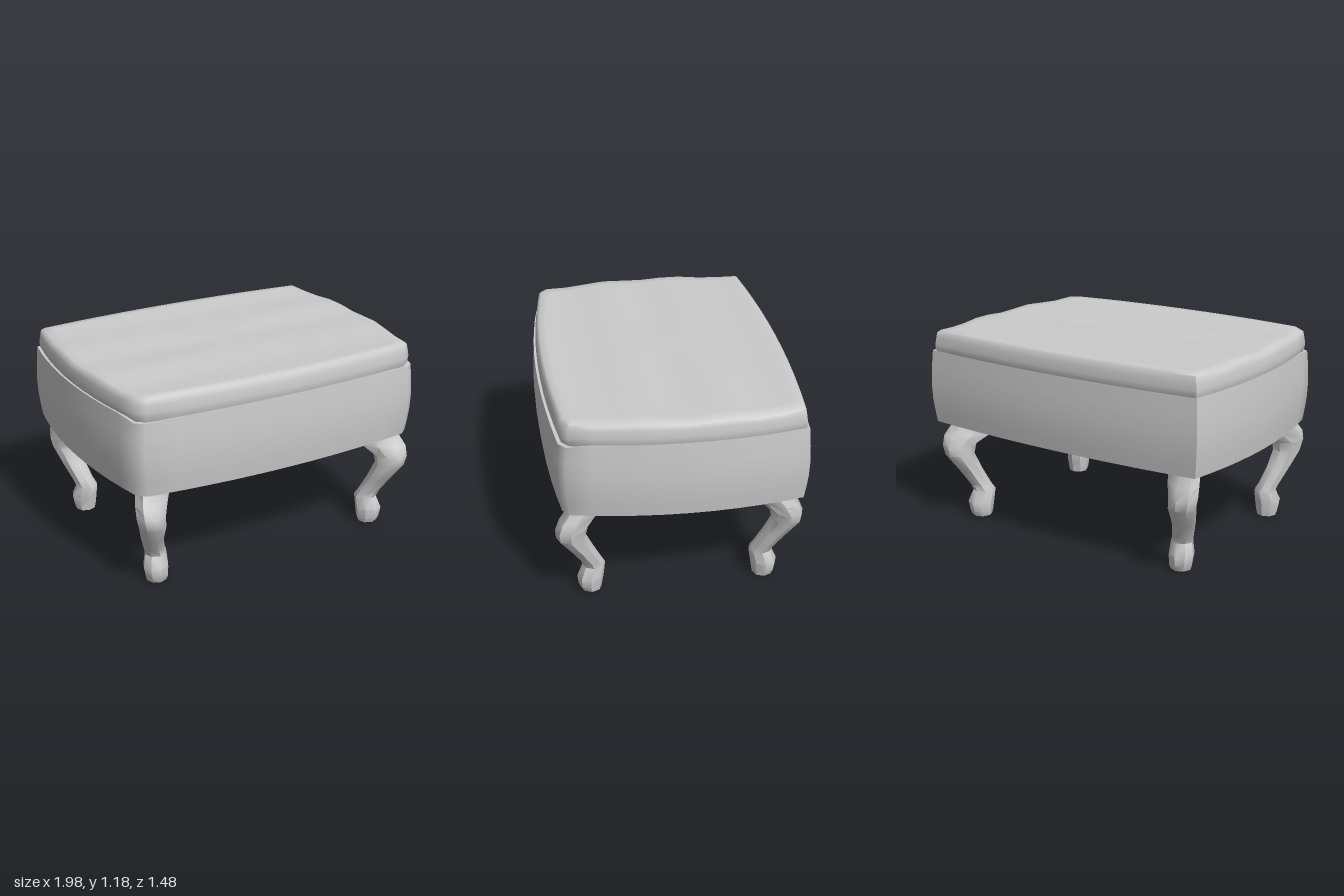
import * as THREE from 'three';
import { toCreasedNormals } from 'three/addons/utils/BufferGeometryUtils.js';

const material = new THREE.MeshStandardMaterial({ color: 0xcccccc });

// Skin closed rings of [x, y, z] points, listed from bottom to top, each running from +z towards +x.
function loft(rings, crease, flip = false) {
  const n = rings[0].length;
  const points = rings.flat();
  const index = [];
  const face = (a, b, c) => index.push(...(flip ? [a, c, b] : [a, b, c]));
  for (let r = 0; r < rings.length - 1; r++) {
    for (let i = 0; i < n; i++) {
      const j = (i + 1) % n;
      const a = r * n + i, b = r * n + j;
      face(a, b, b + n);
      face(a, b + n, a + n);
    }
  }
  // end caps, fanned from the middle of the first and last ring
  for (const last of [false, true]) {
    const ring = last ? rings[rings.length - 1] : rings[0];
    const start = last ? (rings.length - 1) * n : 0;
    const centre = points.length;
    points.push([0, 1, 2].map(k => ring.reduce((s, p) => s + p[k], 0) / n));
    for (let i = 0; i < n; i++) {
      const a = start + i, b = start + (i + 1) % n;
      if (last) face(centre, a, b);
      else face(centre, b, a);
    }
  }
  const geometry = new THREE.BufferGeometry();
  geometry.setAttribute('position', new THREE.Float32BufferAttribute(points.flat(), 3));
  geometry.setIndex(index);
  geometry.computeVertexNormals();
  return toCreasedNormals(geometry, crease);
}

// Plan outline: bowed sides, softened front corners and sharp back corners.
function outline() {
  const corners = [[-0.86, 0.675], [0.86, 0.675], [0.91, 0.635], [0.93, -0.69], [-0.93, -0.69], [-0.91, 0.635]];
  const bows = [[0, 0.06], [0, 0], [0.07, 0], [0, -0.05], [-0.07, 0], [0, 0]];
  const steps = [10, 1, 10, 10, 10, 1];
  const points = [];
  corners.forEach(([x, z], c) => {
    const [x2, z2] = corners[(c + 1) % corners.length];
    for (let i = 0; i < steps[c]; i++) {
      const t = i / steps[c], bow = 4 * t * (1 - t);
      points.push([x + (x2 - x) * t + bows[c][0] * bow, z + (z2 - z) * t + bows[c][1] * bow]);
    }
  });
  return points;
}

const plan = outline();
// A copy of the outline moved inwards by a distance, or scaled about the centre
const ring = (inset, scale, height) => plan.map(([x, z]) => {
  const px = x * (1 - inset) * scale, pz = z * (1 - inset * 1.33) * scale;
  return [px, height(px, pz), pz];
});

// Upholstered box with barrelled sides and a sagging underside
function bodyGeometry() {
  const rings = [];
  for (const s of [0.15, 0.4, 0.65, 0.85]) rings.push(ring(0.02, s, () => 0.54 + 0.07 * s * s));
  const sides = [[0.02, 0.612], [0.011, 0.68], [0.003, 0.76], [0, 0.85], [0.004, 0.95], [0.012, 1.055]];
  for (const [inset, y] of sides) rings.push(ring(inset, 1, (x, z) =>
    y > 1 ? y - 0.025 * Math.max(0, z - 0.5) / 0.15 * Math.abs(x) ** 3 : y));
  rings.push(ring(0.07, 1, () => 1.035));
  return loft(rings, 0.85);
}

// Seat pad with rounded shoulders and a gently rippled top
function cushionGeometry() {
  const top = (x, z) => 1.172 - 0.006 * Math.cos(Math.PI * z / 0.225);
  const rings = [];
  for (const [inset, y] of [[0.04, 1.02], [0.026, 1.06], [0.024, 1.09], [0.03, 1.13]]) {
    rings.push(ring(inset, 1, () => y));
  }
  rings.push(ring(0.036, 1, (x, z) => top(x, z) - 0.014));
  for (const s of [0.98, 0.92, 0.8, 0.6, 0.4, 0.2]) rings.push(ring(0.036, s, top));
  return loft(rings, 0.95);
}

// Curved leg sections: height, centre x, centre z, half size along the diagonal and across it
const legSections = [
  [0.00, 0.73, 0.503, 0.060, 0.060],
  [0.03, 0.73, 0.507, 0.070, 0.068],
  [0.09, 0.733, 0.505, 0.080, 0.074],
  [0.16, 0.722, 0.485, 0.068, 0.064],
  [0.20, 0.738, 0.500, 0.064, 0.062],
  [0.30, 0.772, 0.550, 0.072, 0.068],
  [0.41, 0.798, 0.612, 0.088, 0.080],
  [0.47, 0.802, 0.607, 0.102, 0.084],
  [0.53, 0.768, 0.555, 0.150, 0.088],
  [0.585, 0.742, 0.505, 0.160, 0.088],
  [0.66, 0.742, 0.505, 0.155, 0.088],
];

function legGeometry(sx, sz) {
  const rings = legSections.map(([y, cx, cz, along, across]) =>
    Array.from({ length: 8 }, (_, i) => {
      const a = i * Math.PI / 4 - Math.PI / 4;
      const d = Math.cos(a) * along, p = Math.sin(a) * across;
      return [sx * (cx + (d + p) * Math.SQRT1_2), y, sz * (cz + (d - p) * Math.SQRT1_2)];
    }));
  return loft(rings, 0.75, sx * sz < 0);
}

export function createModel() {
  const group = new THREE.Group();
  group.name = 'footstool';
  const add = (name, geometry) => {
    const mesh = new THREE.Mesh(geometry, material);
    mesh.name = name;
    group.add(mesh);
  };
  add('body', bodyGeometry());
  add('cushion', cushionGeometry());
  for (const sz of [1, -1]) {
    for (const sx of [1, -1]) {
      add((sz > 0 ? 'front' : 'back') + (sx > 0 ? 'Left' : 'Right') + 'Leg', legGeometry(sx, sz));
    }
  }
  return group;
}
